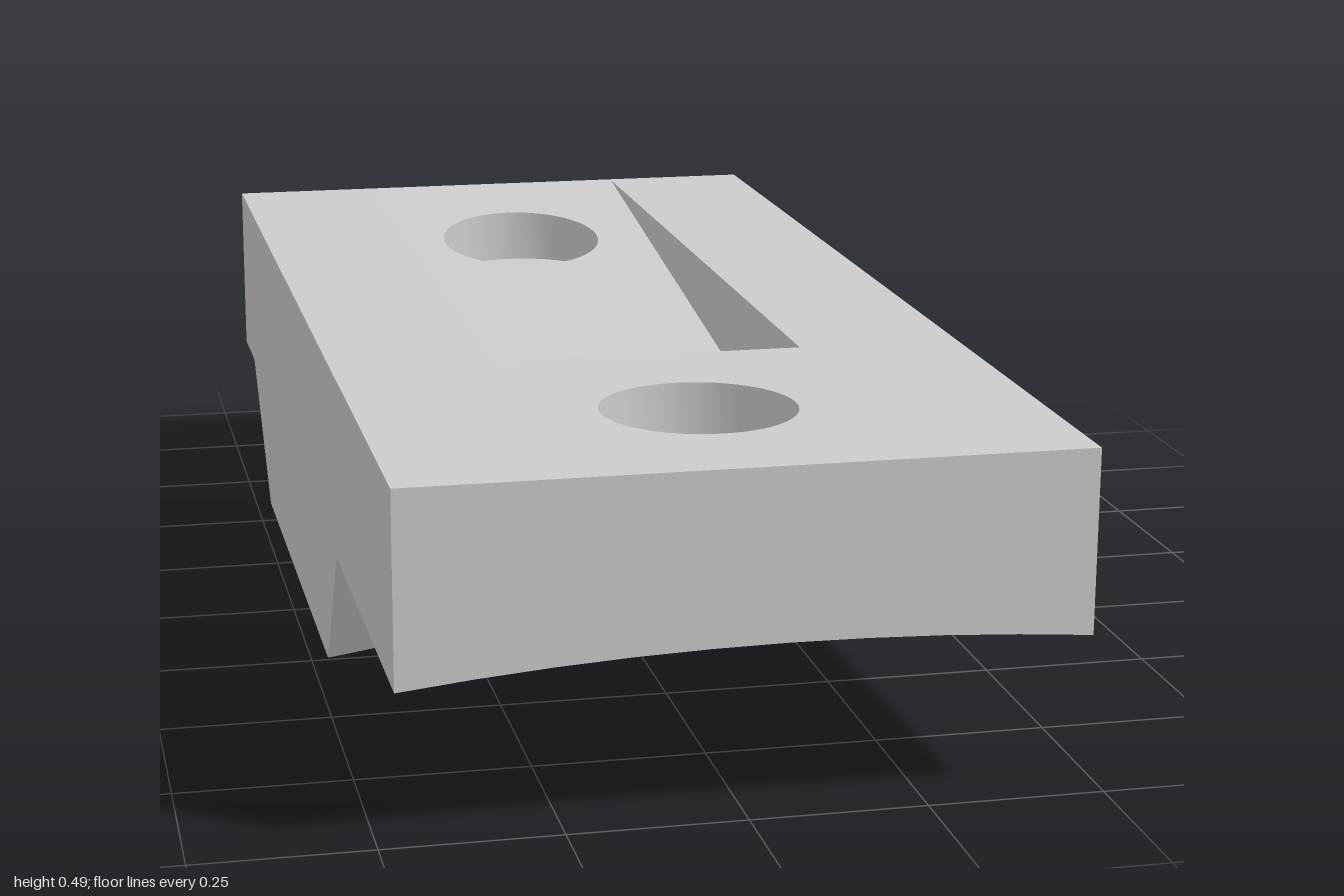
import * as THREE from 'three';
import { mergeGeometries, mergeVertices } from 'three/addons/utils/BufferGeometryUtils.js';

const W = 0.475, L = 1, TOP = 0.49;
const POCKET = { w: 0.23, front: 0.38, back: -0.99, floor: 0.297 };
const HOLE_Z = [0.69, -0.69], BORE_R = 0.045, SINK_R = 0.14, SINK_Y = 0.38;
const SEG = 24, COLUMNS = 9;

// Underside stations from front to back: z, height at -x edge, height at +x edge
const STATIONS = [
  [1, 0.215, 0.228], [0.395, 0.21, 0.253], [0.25, 0.003, 0.055],
  [-0.605, 0, 0.095], [-0.845, 0.207, 0.308], [-1, 0.205, 0.312],
];

// Underside height: twisted between the two edges, arched across x
function bottomY(x, z) {
  let i = 0;
  while (i < STATIONS.length - 2 && z < STATIONS[i + 1][0]) i++;
  const [a, b] = [STATIONS[i], STATIONS[i + 1]];
  const t = (a[0] - z) / (a[0] - b[0]), s = (x + W) / (2 * W);
  const left = a[1] + (b[1] - a[1]) * t, right = a[2] + (b[2] - a[2]) * t;
  return left + (right - left) * s + 0.025 * (1 - (x / W) ** 2);
}

// Pocket floor height: a ramp running out at the back
const rampY = (x, z) =>
  POCKET.floor + (TOP - POCKET.floor) * (POCKET.front - z) / (POCKET.front - POCKET.back);

const flipFaces = (g) => { g.index.array.reverse(); return g; };

// Recompute smooth normals over welded vertices
function weld(g) {
  g.deleteAttribute('uv');
  g.deleteAttribute('normal');
  const out = mergeVertices(g, 1e-5);
  out.computeVertexNormals();
  return out;
}

// Flat shape whose points are placed in space by a rule (u, v) -> [x, y, z]
function sheet(shape, place, flip = false) {
  const g = new THREE.ShapeGeometry(shape, SEG);
  const p = g.attributes.position;
  for (let i = 0; i < p.count; i++) p.setXYZ(i, ...place(p.getX(i), p.getY(i)));
  if (flip) flipFaces(g);
  g.computeVertexNormals();
  return g;
}

const polygon = (pts) => new THREE.Shape(pts.map(([u, v]) => new THREE.Vector2(u, v)));
// Plan shapes use u = x, v = -z
const planRect = (x0, x1, z0, z1) => polygon([[x0, -z0], [x1, -z0], [x1, -z1], [x0, -z1]]);
const circle = (z, r, Type = THREE.Path) => new Type().absarc(0, -z, r, 0, Math.PI * 2, false);
const onPlan = (height) => (u, v) => [u, height(u, -v), -v];
const onSide = (x) => (u, v) => [x, v, -u];
const onEnd = (z) => (u, v) => [u, v, z];

// Inward-facing round wall between two height rules
function roundWall(z, r, topRule, bottomRule) {
  const g = new THREE.CylinderGeometry(r, r, 1, SEG * 2, 1, true).translate(0, 0, z);
  const p = g.attributes.position;
  for (let i = 0; i < p.count; i++) {
    const rule = p.getY(i) > 0 ? topRule : bottomRule;
    p.setY(i, rule(p.getX(i), p.getZ(i)));
  }
  return weld(flipFaces(g));
}

export function createModel() {
  const model = new THREE.Group();
  const material = new THREE.MeshStandardMaterial({ color: 0xcccccc, side: THREE.DoubleSide });
  const add = (name, geometry, parent = model) => {
    const mesh = new THREE.Mesh(geometry, material);
    mesh.name = name;
    parent.add(mesh);
  };
  const flatTop = () => TOP, sinkFloor = () => SINK_Y;

  // Top face, open over the pocket and front counterbore
  const top = planRect(-W, W, L, -L);
  top.holes.push(planRect(-POCKET.w, POCKET.w, POCKET.front, POCKET.back), circle(HOLE_Z[0], SINK_R));
  add('topFace', sheet(top, onPlan(flatTop)));

  // Long side faces
  for (const [name, x, k] of [['leftSide', W, 2], ['rightSide', -W, 1]]) {
    const outline = STATIONS.map((s) => [-s[0], s[k]]);
    add(name, sheet(polygon([...outline, [L, TOP], [-L, TOP]]), onSide(x), x < 0));
  }

  // End faces with an arched lower edge
  const columnX = Array.from({ length: COLUMNS + 1 }, (_, i) => -W + (2 * W * i) / COLUMNS);
  for (const [name, z] of [['frontEnd', L], ['backEnd', -L]]) {
    const arch = columnX.map((x) => [x, bottomY(x, z)]);
    add(name, sheet(polygon([...arch, [W, TOP], [-W, TOP]]), onEnd(z), z < 0));
  }

  // Arched underside, one smooth strip per pair of stations
  const underside = new THREE.Group();
  underside.name = 'underside';
  model.add(underside);
  for (let i = 0; i < STATIONS.length - 1; i++) {
    const z0 = STATIONS[i][0], z1 = STATIONS[i + 1][0];
    const cells = [];
    for (let c = 0; c < COLUMNS; c++) {
      const cell = planRect(columnX[c], columnX[c + 1], z0, z1);
      if (c === (COLUMNS - 1) / 2) {
        for (const z of HOLE_Z) if (z < z0 && z > z1) cell.holes.push(circle(z, BORE_R));
      }
      cells.push(sheet(cell, onPlan(bottomY), true));
    }
    add('undersideStrip', weld(mergeGeometries(cells)), underside);
  }

  // Wedge-shaped pocket: ramp, two side walls and the deep front wall
  const pocket = new THREE.Group();
  pocket.name = 'pocket';
  model.add(pocket);
  const ramp = planRect(-POCKET.w, POCKET.w, POCKET.front, POCKET.back);
  ramp.holes.push(circle(HOLE_Z[1], SINK_R));
  add('pocketRamp', sheet(ramp, onPlan(rampY)), pocket);
  const wedge = [[-POCKET.front, POCKET.floor], [-POCKET.back, TOP], [-POCKET.front, TOP]];
  for (const x of [-POCKET.w, POCKET.w]) {
    add('pocketSideWall', sheet(polygon(wedge), onSide(x), x > 0), pocket);
  }
  const w = POCKET.w, f = POCKET.floor;
  add('pocketFrontWall',
    sheet(polygon([[-w, f], [w, f], [w, TOP], [-w, TOP]]), onEnd(POCKET.front), true), pocket);

  // Counterbored screw holes
  HOLE_Z.forEach((z, i) => {
    const hole = new THREE.Group();
    hole.name = i ? 'backScrewHole' : 'frontScrewHole';
    model.add(hole);
    add('counterboreWall', roundWall(z, SINK_R, i ? rampY : flatTop, sinkFloor), hole);
    const seat = circle(z, SINK_R, THREE.Shape);
    seat.holes.push(circle(z, BORE_R));
    add('counterboreFloor', sheet(seat, onPlan(sinkFloor)), hole);
    add('boreWall', roundWall(z, BORE_R, sinkFloor, bottomY), hole);
  });
  return model;
}
